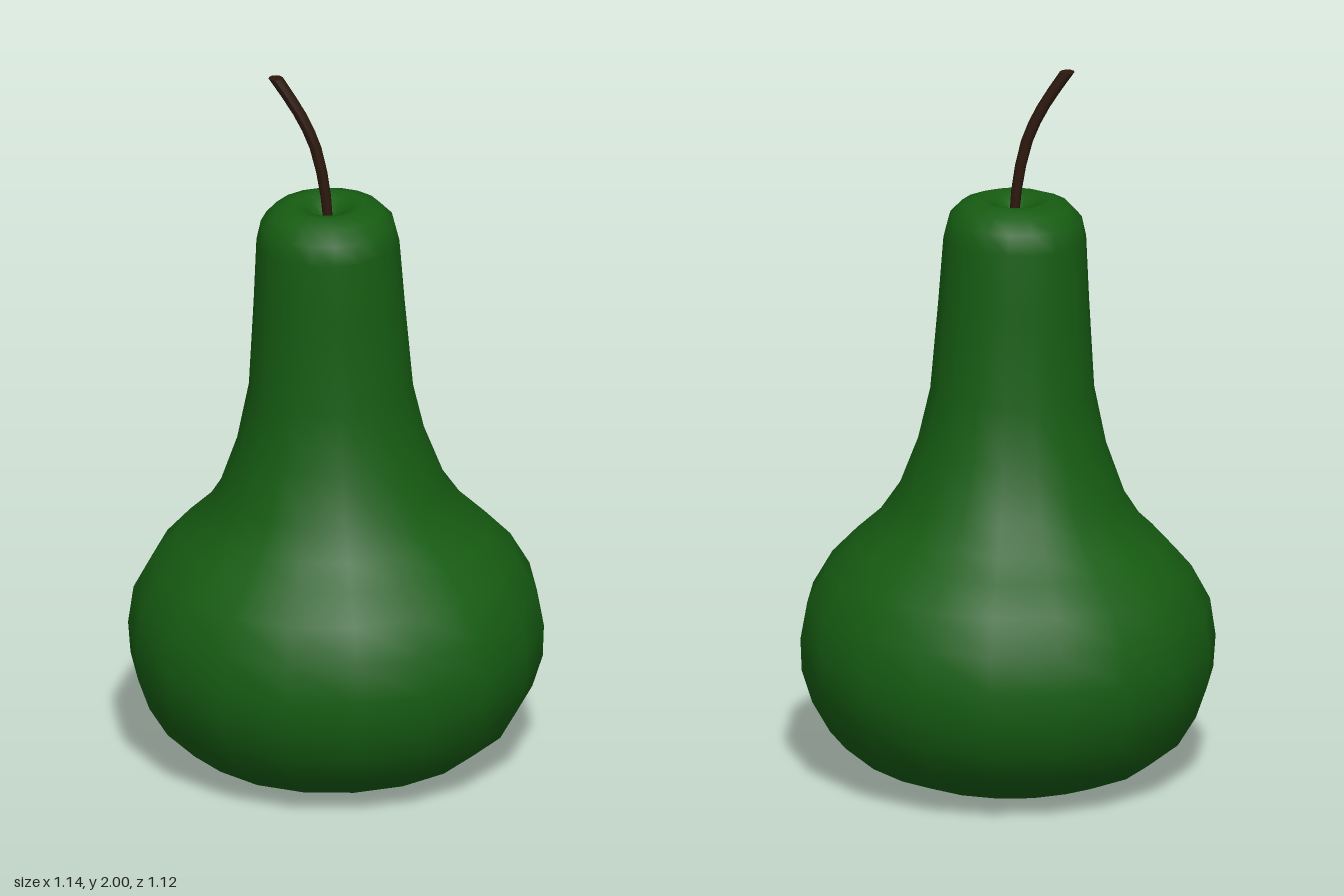
import * as THREE from 'three';

// Revolved fruit body, dimpled at both ends, leaning slightly
function createBody() {
  const profile = [
    [0, 0.1], [0.04, 0.09], [0.1, 0.05], [0.18, 0.02], [0.285, 0.008],
    [0.4, 0.052], [0.485, 0.12], [0.535, 0.205], [0.565, 0.295], [0.57, 0.385],
    [0.553, 0.49], [0.5, 0.585], [0.43, 0.66], [0.365, 0.72], [0.312, 0.8],
    [0.26, 0.94], [0.225, 1.1], [0.207, 1.35], [0.196, 1.53], [0.183, 1.585],
    [0.15, 1.62], [0.1, 1.638], [0.06, 1.627], [0.03, 1.6], [0, 1.575],
  ].map(([r, y]) => new THREE.Vector2(r, y));
  const body = new THREE.Mesh(
    new THREE.LatheGeometry(profile, 18, Math.PI / 2),
    new THREE.MeshStandardMaterial({ color: 0x165c12 })
  );
  body.name = 'fruitBody';
  body.rotation.set(0.02, 0, 0.018);
  body.position.set(0.006, 0, -0.007);
  return body;
}

// Curved stem: a cylinder whose level rings follow a curve
function createStem() {
  const curve = new THREE.CatmullRomCurve3([
    [-0.02, 1.56, 0.03], [-0.027, 1.66, 0.03], [-0.055, 1.8, 0.027],
    [-0.1, 1.9, 0.023], [-0.165, 2, 0.016],
  ].map((p) => new THREE.Vector3(...p)));
  const geometry = new THREE.CylinderGeometry(0.02, 0.013, 1, 10, 8);
  const position = geometry.attributes.position;
  for (let i = 0; i < position.count; i++) {
    const centre = curve.getPoint(THREE.MathUtils.clamp(position.getY(i) + 0.5, 0, 1));
    position.setXYZ(i, position.getX(i) + centre.x, centre.y, position.getZ(i) + centre.z);
  }
  geometry.computeVertexNormals();
  const stem = new THREE.Mesh(geometry, new THREE.MeshStandardMaterial({ color: 0x2c180d }));
  stem.name = 'stem';
  return stem;
}

export function createModel() {
  const model = new THREE.Group();
  model.name = 'pearShapedFruit';
  model.add(createBody(), createStem());
  return model;
}
